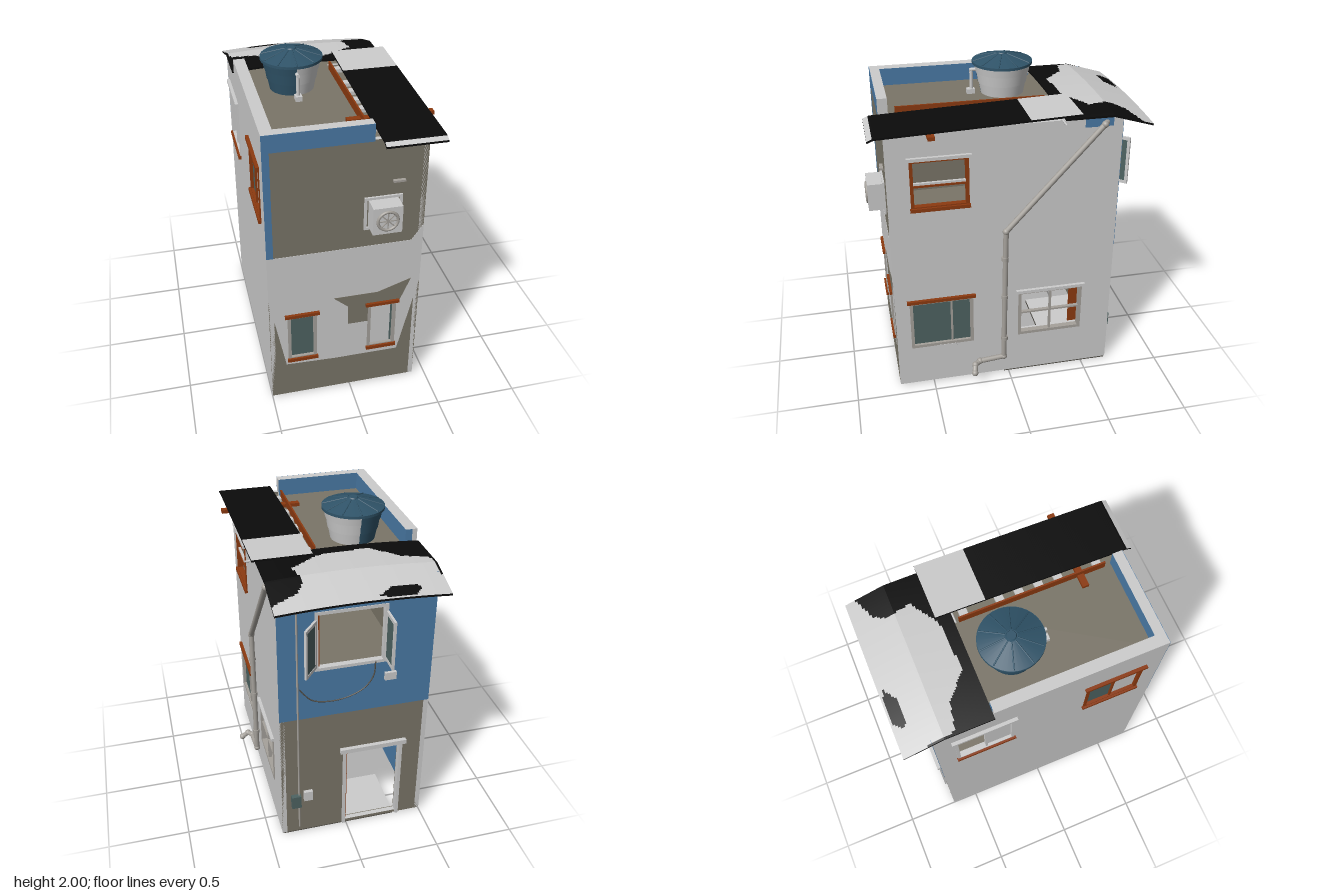
import * as THREE from 'three';

const mat = (name, color) => Object.assign(new THREE.MeshStandardMaterial({ color }), { name });
const M = {
  light: mat('light plaster', 0xcccccc), taupe: mat('taupe plaster', 0x7a7568),
  blue: mat('blue paint', 0x4a7aa6), navy: mat('tank blue', 0x2f5368),
  teal: mat('teal glass', 0x4e6362), brown: mat('brown wood', 0x8c3a10),
  black: mat('black roofing', 0x0b0b0b), grey: mat('grey pipe', 0xa5a19b),
  dark: mat('dark floor', 0x55524b),
};

function add(parent, geo, material, name) {
  const m = new THREE.Mesh(geo, material);
  m.name = name;
  parent.add(m);
  return m;
}
// Box given by its two extreme corners
function box(parent, name, material, [x0, y0, z0], [x1, y1, z1]) {
  const m = add(parent, new THREE.BoxGeometry(x1 - x0, y1 - y0, z1 - z0), material, name);
  m.position.set((x0 + x1) / 2, (y0 + y1) / 2, (z0 + z1) / 2);
  return m;
}
// Straight round bar between two points
function rod(parent, name, material, a, b, r) {
  const p = new THREE.Vector3(...a), q = new THREE.Vector3(...b), d = q.clone().sub(p);
  const m = add(parent, new THREE.CylinderGeometry(r, r, d.length(), 12), material, name);
  m.position.copy(p).add(q).multiplyScalar(0.5);
  m.quaternion.setFromUnitVectors(new THREE.Vector3(0, 1, 0), d.normalize());
  return m;
}
// Flat outline with rectangular holes [u0, u1, y0, y1], extruded from depth z0
function panel(parent, name, material, outline, holes, z0, depth) {
  const s = new THREE.Shape(outline.map(p => new THREE.Vector2(...p)));
  for (const [a, b, c, d] of holes)
    s.holes.push(new THREE.Path([[a, c], [a, d], [b, d], [b, c]].map(p => new THREE.Vector2(...p))));
  const m = add(parent, new THREE.ExtrudeGeometry(s, { depth, bevelEnabled: false }), material, name);
  m.position.z = z0;
  return m;
}
const rect = (a, b, c, d) => [[a, c], [b, c], [b, d], [a, d]];

// A house side: local x runs along the wall, local z = 0 is its outer face
function side(root, name, turn, x, z, outline, holes, color, lining) {
  const g = new THREE.Group();
  g.name = name;
  g.rotation.y = turn;
  g.position.set(x, 0, z);
  root.add(g);
  panel(g, 'wall', [color, M.light], outline, holes, -0.03, 0.03);
  const us = outline.map(p => p[0]);
  panel(g, 'innerLining', lining, rect(Math.min(...us) + 0.03, Math.max(...us) - 0.03, 0.02, 1.72), holes, -0.035, 0.005);
  return g;
}
function windowUnit(g, [a, b, c, d], o) {
  const w = new THREE.Group(), t = 0.013, f = o.frame;
  w.name = o.name;
  g.add(w);
  panel(w, 'frame', f, rect(a - t / 2, b + t / 2, c - t / 2, d + t / 2), [[a + t, b - t, c + t, d - t]], -0.03, 0.036);
  if (o.lintel) box(w, 'lintel', o.lintel, [a - 0.022, d, -0.01], [b + 0.022, d + 0.02, 0.02]);
  if (o.sill) box(w, 'sill', o.sill, [a - 0.012, c - 0.016, -0.01], [b + 0.012, c + 0.006, 0.018]);
  for (const u of o.vertical || []) box(w, 'mullion', f, [u - 0.006, c, -0.022], [u + 0.006, d, 0]);
  for (const y of o.horizontal || []) box(w, 'crossbar', f, [a, y - 0.006, -0.022], [b, y + 0.006, 0]);
  for (const [u0, u1, m] of o.panes || []) box(w, 'pane', m, [u0, c, -0.018], [u1, d, -0.012]);
}
// Bent roof sheet with two paints on top, a pale underside and a thin rim
function roofSheet(root, name, [x0, x1], [z0, z1], nx, nz, height, isPale) {
  const pos = [], dark = [], pale = [], T = 0.012, W = nx + 1, N = W * (nz + 1);
  for (const drop of [0, T]) for (let j = 0; j <= nz; j++) for (let i = 0; i <= nx; i++) {
    const x = x0 + (x1 - x0) * i / nx, z = z0 + (z1 - z0) * j / nz;
    pos.push(x, height(x, z) - drop, z);
  }
  for (let j = 0; j < nz; j++) for (let i = 0; i < nx; i++) {
    const a = j * W + i, b = a + W, c = b + 1, d = a + 1;
    const x = x0 + (x1 - x0) * (i + 0.5) / nx, z = z0 + (z1 - z0) * (j + 0.5) / nz;
    (isPale(x, z) ? pale : dark).push(a, b, c, a, c, d);
    pale.push(a + N, c + N, b + N, a + N, d + N, c + N);
  }
  const rim = (p, q) => dark.push(p, q, q + N, p, q + N, p + N, p, q + N, q, p, p + N, q + N);
  for (let i = 0; i < nx; i++) { rim(i, i + 1); rim(nz * W + i, nz * W + i + 1); }
  for (let j = 0; j < nz; j++) { rim(j * W, j * W + W); rim(j * W + nx, j * W + W + nx); }
  let geo = new THREE.BufferGeometry();
  geo.setAttribute('position', new THREE.Float32BufferAttribute(pos, 3));
  geo.setIndex([...dark, ...pale]);
  geo = geo.toNonIndexed();
  geo.addGroup(0, dark.length, 0);
  geo.addGroup(dark.length, pale.length, 1);
  geo.computeVertexNormals();
  add(root, geo, [M.black, M.light], name);
}
function inside(x, z, poly) {
  let hit = false;
  poly.forEach(([ax, az], i) => {
    const [bx, bz] = poly[(i + 1) % poly.length];
    if (az > z !== bz > z && x < ax + (bx - ax) * (z - az) / (bz - az)) hit = !hit;
  });
  return hit;
}

export function createModel() {
  const root = new THREE.Group();
  root.name = 'house';
  const { light, taupe, blue, navy, teal, brown, grey, dark } = M;
  const B = 0.012, H = 1.765, P = 1.86, H2 = Math.PI / 2;

  // Front
  const f1 = [-0.385, -0.22, 0.305, 0.635], f2 = [0.11, 0.275, 0.305, 0.635];
  const front = side(root, 'frontSide', 0, 0, 0.72,
    [[-0.5, B], [0.42, B], [0.42, H], [0.11, H], [0.11, P], [-0.5, P]], [f1, f2], taupe, taupe);
  panel(front, 'whitePaint', light, [[-0.5, 0.78], [-0.405, 0.262], [-0.1, 0.25], [0.3, 0.25], [0.42, 0.78],
    [0.42, 1.18], [0.35, 1.08], [-0.5, 1.08]], [f1, f2], 0, 0.002);
  panel(front, 'taupePatch', taupe, [[-0.11, 0.73], [-0.02, 0.65], [-0.02, 0.515], [0.105, 0.515], [0.105, 0.64],
    [0.3, 0.64], [0.365, 0.8], [0.16, 0.73]], [], 0.002, 0.002);
  panel(front, 'bluePaint', blue, [[-0.5, 1.08], [-0.46, 1.08], [-0.46, 1.755], [0.11, 1.755], [0.11, P], [-0.5, P]], [], 0, 0.002);
  windowUnit(front, f1, { name: 'frontWindowRight', frame: grey, lintel: brown, sill: brown, panes: [[-0.385, -0.22, teal]] });
  windowUnit(front, f2, { name: 'frontWindowLeft', frame: grey, lintel: brown, sill: brown, panes: [[0.11, 0.25, light], [0.25, 0.275, teal]] });

  // Air conditioner
  const ac = new THREE.Group();
  ac.name = 'airConditioner';
  ac.position.set(0.17, 1.305, 0);
  front.add(ac);
  panel(ac, 'mountFrame', light, rect(-0.11, 0.11, -0.105, 0.105), [[-0.095, 0.095, -0.09, 0.09]], 0, 0.012);
  box(ac, 'case', light, [-0.085, -0.085, 0], [0.085, 0.085, 0.1]);
  add(ac, new THREE.TorusGeometry(0.058, 0.009, 8, 28), grey, 'fanRing').position.z = 0.101;
  for (let i = 0; i < 4; i++) {
    const bar = box(ac, 'fanBar', grey, [-0.055, -0.003, 0.1], [0.055, 0.003, 0.106]);
    bar.rotation.z = i * Math.PI / 4;
  }
  box(front, 'smallBracket', grey, [0.22, 1.494, 0], [0.29, 1.506, 0.02]);

  // Left side
  const l1 = [-0.55, -0.2, 1.24, 1.6], l2 = [0.26, 0.6, 1.27, 1.6];
  const left = side(root, 'rightHandSide', -H2, -0.5, 0,
    [[-0.67, B], [0.72, B], [0.72, P], [-0.31, P], [-0.31, H], [-0.67, H]], [l1, l2], light, taupe);
  windowUnit(left, l1, { name: 'rearWindow', frame: light, lintel: light, sill: brown, vertical: [-0.37], panes: [[-0.37, -0.2, light]] });
  windowUnit(left, l2, { name: 'foreWindow', frame: brown, lintel: brown, sill: brown, vertical: [0.43], panes: [[0.26, 0.43, teal], [0.43, 0.6, light]] });
  box(left, 'blueWainscot', blue, [-0.64, 0.02, -0.04], [0.0, 0.56, -0.035]);

  // Right side
  const r1 = [-0.58, -0.25, 1.29, 1.595], r2 = [-0.625, -0.24, 0.3, 0.635], r3 = [0.065, 0.47, 0.3, 0.62];
  const right = side(root, 'leftHandSide', H2, 0.42, 0, rect(-0.72, 0.67, B, H), [r1, r2, r3], light, taupe);
  windowUnit(right, r1, { name: 'upperWindow', frame: brown, lintel: light, sill: brown, horizontal: [1.43] });
  box(right, 'sash', light, [-0.57, 1.437, -0.02], [-0.26, 1.45, -0.004]);
  windowUnit(right, r2, { name: 'lowerWindow', frame: grey, lintel: brown, vertical: [-0.37], panes: [[-0.625, -0.24, teal]] });
  windowUnit(right, r3, { name: 'rearLowerWindow', frame: grey, lintel: light, vertical: [0.27], horizontal: [0.46] });
  panel(right, 'chippedPaint', light, [[-0.47, 0.295], [-0.43, 0.235], [-0.34, 0.265], [-0.35, 0.295]], [], 0, 0.008);
  box(right, 'bluePatch', blue, [0.44, 1.71, 0], [0.61, H, 0.004]);

  // Back: local x is mirrored
  const door = [-0.01, 0.33, 0.03, 0.6], bw = [-0.2, 0.21, 1.23, 1.6];
  const back = side(root, 'backSide', Math.PI, 0, -0.67, rect(-0.42, 0.5, B, H), [door, bw], taupe, taupe);
  panel(back, 'bluePaint', blue, rect(-0.42, 0.5, 0.9, H), [bw], 0, 0.002);
  windowUnit(back, bw, { name: 'backWindow', frame: light });
  box(back, 'brownJamb', brown, [-0.19, 1.24, -0.05], [-0.175, 1.59, -0.012]);
  for (const [u, turn] of [[-0.2, -2.26], [0.21, -H2]]) {
    const leaf = new THREE.Group();
    leaf.name = 'openShutter';
    leaf.position.set(u, 0, 0.005);
    leaf.rotation.y = turn;
    back.add(leaf);
    panel(leaf, 'shutterFrame', light, rect(0, 0.135, 1.25, 1.56), [[0.018, 0.117, 1.27, 1.54]], -0.007, 0.014);
    box(leaf, 'shutterGlass', teal, [0.018, 1.27, -0.004], [0.117, 1.54, 0.004]);
  }
  for (const u of [-0.03, 0.33]) box(back, 'doorJamb', light, [u, B, -0.03], [u + 0.02, 0.6, 0.014]);
  box(back, 'doorLintel', light, [-0.05, 0.6, -0.01], [0.37, 0.63, 0.025]);
  box(back, 'doorLeaf', brown, [-0.01, 0.03, -0.14], [0.004, 0.59, -0.02]);
  box(back, 'ventBox', light, [0.21, 1.1, 0], [0.28, 1.15, 0.02]);
  box(back, 'meterBox', teal, [-0.36, 0.23, 0], [-0.3, 0.32, 0.03]);
  box(back, 'switchBox', light, [-0.28, 0.27, 0], [-0.225, 0.34, 0.022]);
  rod(back, 'conduit', grey, [-0.31, 0.05, 0.008], [-0.31, 1.74, 0.008], 0.006);
  const cable = [[-0.3, 1.12], [-0.22, 1.03], [-0.06, 1.01], [0.08, 1.06], [0.14, 1.14], [0.15, 1.24]];
  add(back, new THREE.TubeGeometry(new THREE.CatmullRomCurve3(cable.map(p => new THREE.Vector3(...p, 0.012))), 40, 0.004, 6), dark, 'hangingCable');

  // Floors and terrace, with the ground floor only at the back
  box(root, 'groundFloor', [dark, dark, light, dark, dark, dark], [0, 0, -0.665], [0.415, 0.02, 0.03]);
  box(root, 'groundFloorHall', [dark, dark, light, dark, dark, dark], [-0.32, 0, -0.665], [0, 0.02, -0.3]);
  box(root, 'upperFloor', taupe, [-0.465, 0.93, -0.635], [0.385, 0.96, 0.685]);
  box(root, 'terraceFloor', taupe, [-0.47, 1.72, -0.64], [0.39, 1.75, 0.69]);
  box(root, 'sideParapet', [blue, light, light, light, blue, blue], [-0.47, 1.75, -0.31], [-0.43, P, 0.69]);
  box(root, 'frontParapet', [light, light, light, light, blue, blue], [-0.43, 1.75, 0.66], [0.11, P, 0.69]);
  box(root, 'terraceBoard', brown, [0.098, 1.75, -0.28], [0.108, 1.805, 0.62]);
  box(root, 'roofBeam', brown, [0.02, 1.752, 0.445], [0.525, 1.774, 0.485]);
  for (const z of [-0.24, -0.02, 0.1, 0.22, 0.34, 0.58]) box(root, 'roofBlock', light, [0.115, 1.75, z - 0.025], [0.2, 1.772, z + 0.025]);
  rod(root, 'terraceRail', light, [0.095, 1.77, -0.3], [0.51, 1.77, -0.3], 0.006);

  // Roofs
  const snow = [[-0.52, -0.85], [0.47, -0.85], [0.47, -0.78], [0.31, -0.72], [0.26, -0.64], [0.29, -0.5],
    [0.12, -0.39], [-0.19, -0.37], [-0.33, -0.5], [-0.49, -0.53], [-0.5, -0.66]];
  const bare = [[-0.36, -0.78], [-0.31, -0.83], [-0.1, -0.82], [-0.2, -0.75], [-0.33, -0.75]];
  roofSheet(root, 'backRoof', [-0.51, 0.46], [-0.84, -0.31], 80, 44,
    (x, z) => 1.785 + 0.02 * (1 - 4 * x * x) - 0.3 * Math.max(0, -0.6 - z),
    (x, z) => inside(x, z, snow) && !inside(x, z, bare));
  roofSheet(root, 'sideRoof', [0.145, 0.49], [-0.4, 0.81], 1, 121,
    (x, z) => 1.807 - 0.037 * z - 0.4 * Math.max(0, z - 0.775), (x, z) => z < -0.1 || z > 0.775);

  // Water tank, half painted
  const tank = new THREE.Group();
  tank.name = 'waterTank';
  tank.position.set(-0.18, 0, -0.08);
  root.add(tank);
  const rings = [[0.134, 0.147, 1.75, 1.82], [0.151, 0.161, 1.82, 1.885], [0.166, 0.177, 1.885, 1.945]];
  for (const [r0, r1, y0, y1] of rings) for (const [start, m] of [[0, light], [Math.PI, navy]])
    add(tank, new THREE.CylinderGeometry(r1, r0, y1 - y0, 20, 1, true, start, Math.PI), m, 'tankWall').position.y = (y0 + y1) / 2;
  add(tank, new THREE.CylinderGeometry(0.187, 0.187, 0.016, 36), navy, 'lidRim').position.y = 1.943;
  add(tank, new THREE.CylinderGeometry(0.035, 0.185, 0.042, 36), navy, 'lid').position.y = 1.972;
  add(tank, new THREE.CylinderGeometry(0.026, 0.03, 0.007, 20), navy, 'lidCap').position.y = 1.9965;
  for (let i = 0; i < 10; i++) {
    const s = Math.sin(i * Math.PI / 5), c = Math.cos(i * Math.PI / 5);
    rod(tank, 'lidRib', navy, [0.035 * s, 1.992, 0.035 * c], [0.18 * s, 1.953, 0.18 * c], 0.004);
  }
  rod(tank, 'tankPipe', light, [0, 1.78, 0.195], [0, 1.9, 0.195], 0.011);
  rod(tank, 'tankPipeTop', light, [0, 1.9, 0.206], [0, 1.9, 0.15], 0.011);
  box(tank, 'pipeFoot', light, [-0.02, 1.75, 0.175], [0.02, 1.78, 0.225]);

  // Drainpipe
  const drain = [[0.42, 1.735, -0.57], [0.445, 1.73, -0.55], [0.445, 1.09, 0.03], [0.445, 0.15, 0.04],
    [0.45, 0.14, 0.2], [0.475, 0.135, 0.235], [0.515, 0.1, 0.245]];
  drain.slice(1).forEach((p, i) => {
    rod(root, 'drainpipe', grey, drain[i], p, 0.017);
    add(root, new THREE.SphereGeometry(0.021, 14, 10), grey, 'pipeJoint').position.set(...p);
  });
  for (const y of [0.3, 0.62, 0.9]) rod(root, 'pipeCollar', grey, [0.445, y - 0.012, 0.036], [0.445, y + 0.012, 0.036], 0.022);
  return root;
}
